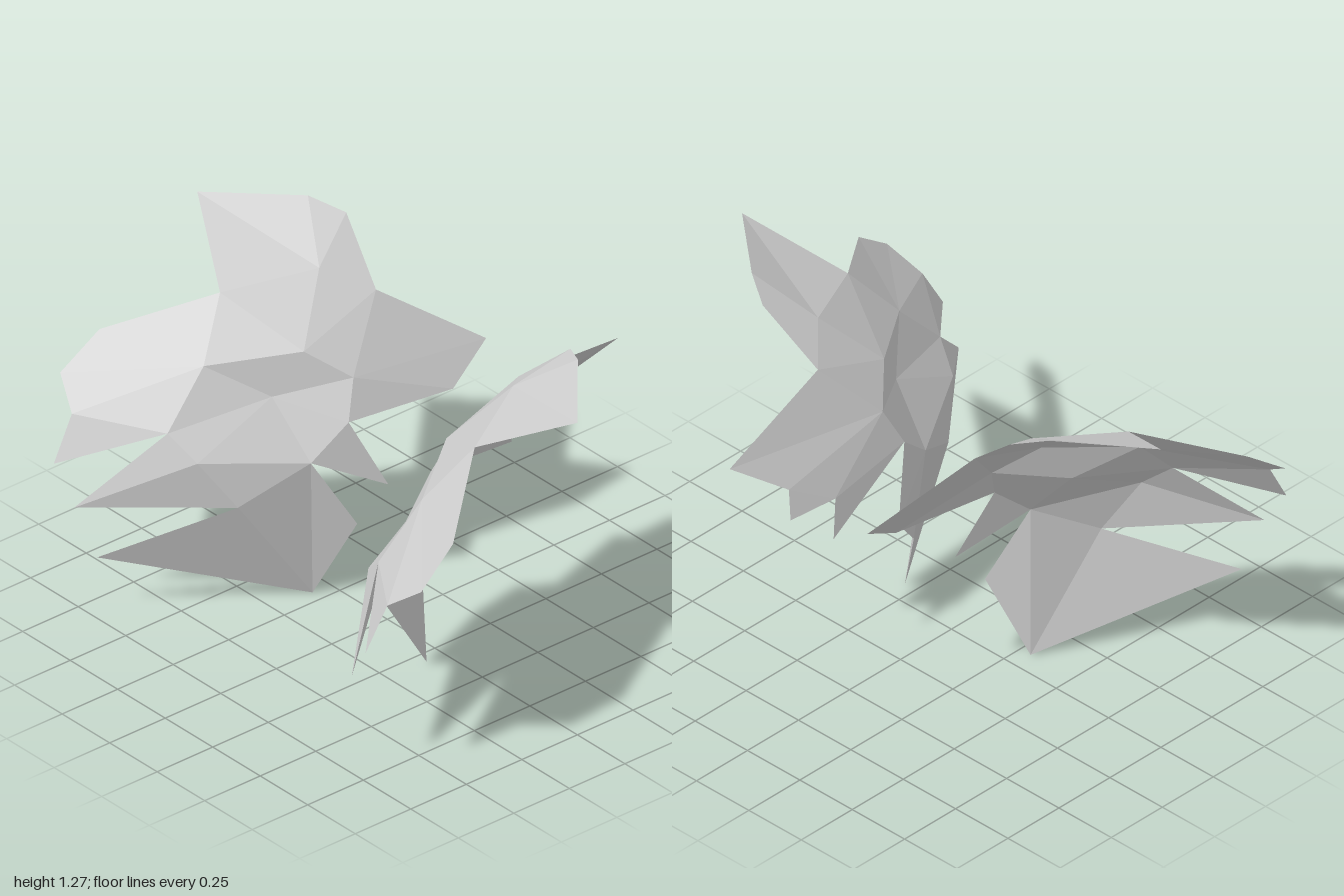
import * as THREE from 'three';

// Corner points of the left wing; the right wing mirrors them in x
const P = {
  // upper tip and top edge
  T1: [1, 1.25, 0], T2: [0.71, 1.27, -0.25], T3: [0.59, 1.23, -0.32], T4: [0.375, 1.04, -0.27],
  // rear feathers
  B1: [0.28, 0.94, -0.8], B2: [0.187, 0.8, -0.605], B3: [0.14, 0.715, -0.645],
  B4: [0.145, 0.69, -0.42], B5: [0.1, 0.57, -0.475], B6: [0.215, 0.685, -0.01],
  // lower lobe
  L1: [0.135, 0.43, -0.12], L2: [0.17, 0.3, -0.01], L3: [0.3, 0, 0.08], L4: [0.365, 0.42, 0.36],
  X: [0.68, 0.22, 0.725],
  // front feathers
  F1: [0.73, 0.42, 0.785], F2: [0.555, 0.69, 0.515], F3: [0.82, 0.56, 0.8],
  F4: [0.83, 0.72, 0.71], F5: [0.95, 0.81, 0.66], F6: [0.93, 0.93, 0.5], F7: [0.67, 1.07, 0.18],
  // raised points within the sheet
  U: [0.51, 1.12, -0.13], C: [0.375, 0.92, 0.055], Q: [0.26, 0.82, -0.07], R: [0.42, 0.76, 0.16],
  S: [0.575, 0.88, 0.335], M: [0.25, 0.56, 0.13], N: [0.45, 0.6, 0.47],
};

// Each panel is a list of fans: a hub followed by its rim
const shared = {
  upperTip: ['U T1 T2 T3 T4 C F7 T1'],
  centre: ['C T4 Q R S F7', 'R Q B6 M N F2'],
  frontFeathers: ['S R F2 F4 F5 F6 F7', 'F2 F3 F4'],
  lowerFrontFeather: ['N M L4 F1 F2'],
};
const leftOnly = {
  rearFeathers: ['Q T4 B1 B2 B4 B6', 'B2 B3 B4', 'B4 B5 B6'],
  lowerLobe: ['M B6 L1 L2 L3 L4'],
};
const rightOnly = {
  rearFeather: ['Q T4 B2 B4 B6'],
  lowerLobe: ['M B6 L1', 'M L2 L3 L4', 'L3 X L4'],
};

function panel(fans, side) {
  const out = [];
  for (const fan of fans) {
    const [hub, ...rim] = fan.split(' ');
    for (let i = 0; i < rim.length - 1; i++) {
      const tri = [hub, rim[i], rim[i + 1]];
      if (side < 0) tri.reverse(); // keep the winding when mirrored
      for (const n of tri) out.push(P[n][0] * side, P[n][1], P[n][2]);
    }
  }
  const g = new THREE.BufferGeometry();
  g.setAttribute('position', new THREE.Float32BufferAttribute(out, 3));
  g.computeVertexNormals();
  return g;
}

function wing(name, side, panels, material) {
  const group = new THREE.Group();
  group.name = name;
  for (const [part, fans] of Object.entries(panels)) {
    const mesh = new THREE.Mesh(panel(fans, side), material);
    mesh.name = part;
    group.add(mesh);
  }
  return group;
}

export function createModel() {
  const grey = new THREE.MeshStandardMaterial({
    color: 0xcccccc, flatShading: true, side: THREE.DoubleSide,
  });
  grey.name = 'light grey';
  const model = new THREE.Group();
  model.name = 'wingPair';
  model.add(
    wing('leftWing', 1, { ...shared, ...leftOnly }, grey),
    wing('rightWing', -1, { ...shared, ...rightOnly }, grey),
  );
  return model;
}
